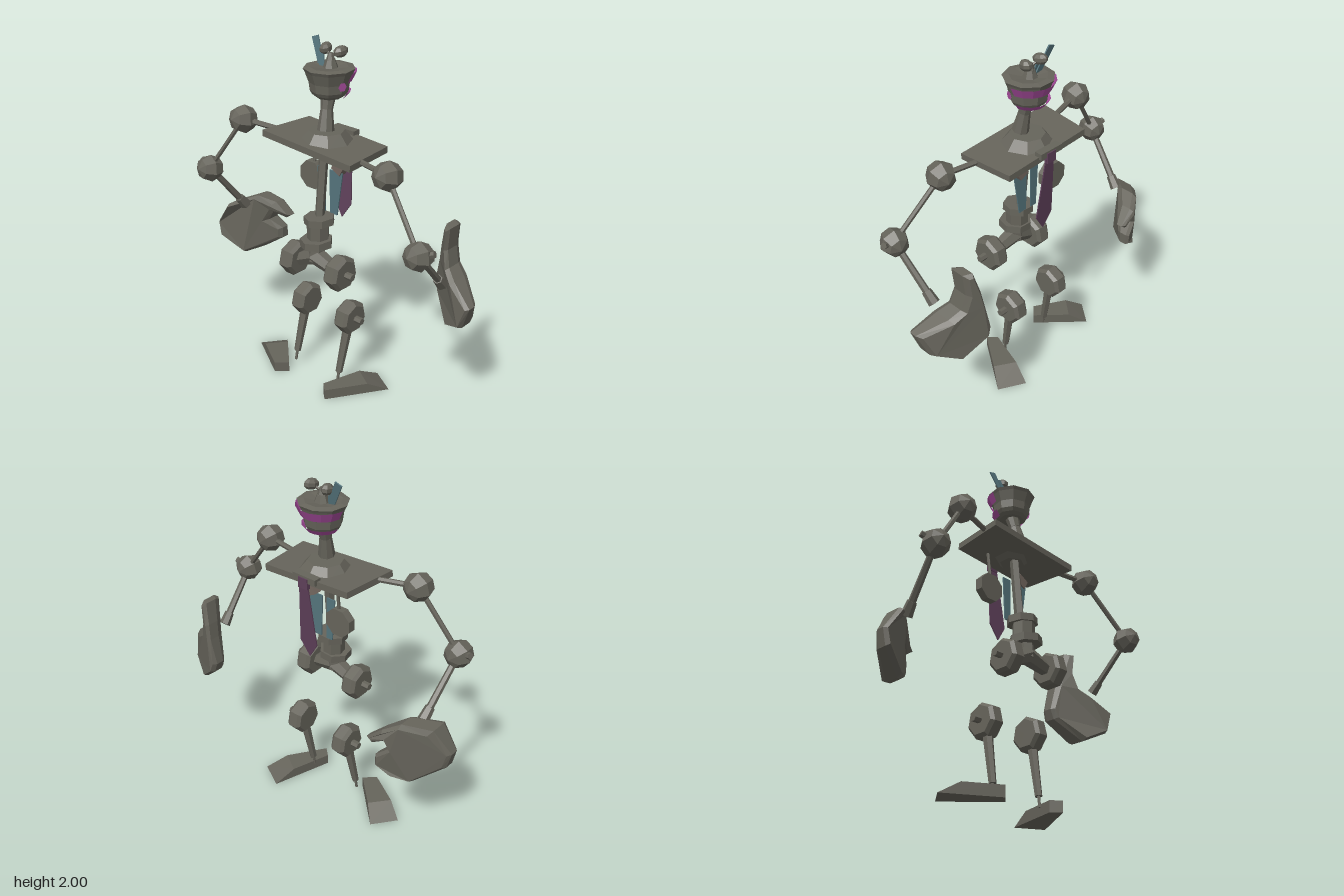
import * as THREE from 'three';

const mat = (name, color, double) => {
  const m = new THREE.MeshStandardMaterial({ color, flatShading: true });
  m.name = name;
  if (double) m.side = THREE.DoubleSide;
  return m;
};

export function createModel() {
  const root = new THREE.Group();
  const grey = mat('warm grey metal', 0x66645b);
  const blue = mat('slate blue', 0x55747c, true);
  const magenta = mat('magenta', 0xa64c9c, true);
  const purple = mat('dark purple', 0x5e4059, true);
  const brown = mat('brown grey', 0x73675f);
  const V = (p) => new THREE.Vector3(...p);
  const points = (pts) => pts.map((p) => new THREE.Vector2(...p));

  const add = (name, geo, material, pos = [0, 0, 0], rot = [0, 0, 0]) => {
    const m = new THREE.Mesh(geo, material);
    m.name = name;
    m.position.set(...pos);
    m.rotation.set(...rot);
    root.add(m);
    return m;
  };
  // tapered bar from a to b
  const rod = (name, a, b, ra, rb = ra, sides = 6) => {
    const d = V(b).sub(V(a));
    const m = add(name, new THREE.CylinderGeometry(rb, ra, d.length(), sides), grey);
    m.position.copy(V(a)).addScaledVector(d, 0.5);
    m.quaternion.setFromUnitVectors(new THREE.Vector3(0, 1, 0), d.normalize());
  };
  const ball = (name, p, r) => add(name, new THREE.SphereGeometry(r, 7, 4), grey, p, [1.4, 0.2, 0.2]);
  // thin flat panel, optionally leaning about its origin
  const plate = (name, pts, material, pos, lean = 0) => add(name,
    new THREE.ExtrudeGeometry(new THREE.Shape(points(pts)), { depth: 0.007, bevelEnabled: false }),
    material, pos, [lean, 0, 0]);

  // head bowl
  const prof = [[0, 1.71], [0.07, 1.71], [0.088, 1.725], [0.1, 1.745], [0.106, 1.79], [0.126, 1.845], [0.135, 1.862], [0.1, 1.868], [0, 1.85]];
  add('head', new THREE.LatheGeometry(points(prof), 9), grey, [-0.01, 0, 0.005]);
  // flared bands around the back of the head
  const band = (name, y, h, r0, r1) => add(name,
    new THREE.CylinderGeometry(r1, r0, h, 7, 1, true, Math.PI * 0.52, Math.PI * 0.96), magenta, [-0.01, y, 0]);
  band('upperHeadBand', 1.822, 0.052, 0.113, 0.138);
  band('lowerHeadBand', 1.728, 0.03, 0.084, 0.108);
  add('sideSpot', new THREE.CircleGeometry(0.024, 6), magenta, [0.101, 1.785, 0.03], [0, Math.PI / 2 - 0.3, 0]);
  // neck
  rod('lowerNeck', [0.005, 1.54, 0.05], [-0.005, 1.65, 0.03], 0.045, 0.032, 8);
  rod('upperNeck', [-0.005, 1.65, 0.03], [-0.01, 1.73, 0.01], 0.032, 0.042, 8);

  // eye stalks on the crown
  add('eyeBase', new THREE.CylinderGeometry(0.025, 0.04, 0.04, 7), grey, [-0.01, 1.88, -0.005]);
  add('eyePost', new THREE.CylinderGeometry(0.012, 0.025, 0.04, 6), grey, [-0.01, 1.915, -0.005]);
  for (const s of [-1, 1]) {
    const p = [-0.01 + s * 0.05, 1.945, -0.025];
    rod('eyeStalk', [-0.01, 1.915, -0.005], p, 0.008, 0.008, 5);
    add('eye', new THREE.SphereGeometry(0.03, 7, 5), grey, p, [0.15, s * -0.2, 0]).scale.z = 1.45;
  }
  // head feathers
  plate('tallFeather', [[-0.09, 0], [-0.05, 0], [-0.115, 0.143], [-0.155, 0.128]], blue, [0, 1.86, -0.005], -0.2);
  plate('shortFeather', [[-0.075, 0], [-0.04, 0], [-0.065, 0.1], [-0.105, 0.09]], blue, [0, 1.86, 0.004], -0.2);

  // shoulder plate, collar and chest underside
  const deck = new THREE.Shape(points([[-0.32, -0.19], [0.29, -0.19], [0.265, 0.135], [-0.285, 0.135]]));
  add('shoulderPlate', new THREE.ExtrudeGeometry(deck, { depth: 0.036, bevelEnabled: false }), grey,
    [0, 1.447, 0], [-Math.PI / 2, 0.062, 0]);
  add('collar', new THREE.CylinderGeometry(0.095, 0.145, 0.06, 8), grey, [-0.015, 1.5, 0.02]);
  add('chestUnderside', new THREE.CylinderGeometry(0.1, 0.07, 0.03, 6), grey, [-0.01, 1.44, 0.01]);

  // spine and waist
  rod('spine', [-0.018, 1.05, 0.075], [-0.018, 1.45, 0.035], 0.027, 0.027, 5);
  for (const [y, z, r, h, t] of [[1.04, 0.085, 0.085, 0.04, 0.06], [0.975, 0.095, 0.062, 0.1, 0], [0.915, 0.11, 0.09, 0.042, 0.06]]) {
    add('waistDisc', new THREE.CylinderGeometry(r, r, h, 7), grey, [-0.01, y, z], [0, 0, t]);
  }
  // blue torso panels
  plate('rightPanel', [[-0.07, 1.06], [-0.03, 1.06], [-0.03, 1.31], [-0.085, 1.31]], blue, [0, 0, 0.01]);
  plate('leftPanel', [[0.005, 1.06], [0.055, 1.06], [0.092, 1.31], [0, 1.31]], blue, [0, 0, 0.01]);
  add('panelBlock', new THREE.BoxGeometry(0.065, 0.055, 0.05), brown, [0.06, 1.335, 0], [0, 0, -0.5]);
  // hanging weight
  rod('weightRod', [-0.145, 1.3, -0.025], [-0.145, 1.46, -0.045], 0.009);
  add('weight', new THREE.CylinderGeometry(0.083, 0.083, 0.045, 8), grey, [-0.153, 1.23, -0.025], [Math.PI / 2, Math.PI / 8, 0]);

  // back tie
  plate('tie', [[0, 0], [0.058, 0.09], [0.028, 0.49], [-0.025, 0.49], [-0.055, 0.09]], purple, [-0.01, 0.99, -0.102], -0.1);
  add('tieKnot', new THREE.BoxGeometry(0.15, 0.035, 0.045), grey, [-0.015, 1.485, -0.13]);
  add('tieClip', new THREE.BoxGeometry(0.06, 0.06, 0.025), purple, [-0.012, 1.462, -0.146]);

  // chamfered wheel joint turning about x, with an outer knob
  const wheel = (name, [x, y, z], r, w, side) => {
    const rim = points([[0, -w / 2], [r * 0.82, -w / 2], [r, -w * 0.3], [r, w * 0.3], [r * 0.82, w / 2], [0, w / 2]]);
    add(name, new THREE.LatheGeometry(rim, 7), grey, [x, y, z], [0.2, 0, -side * Math.PI / 2]);
    rod(name + 'Knob', [x + side * w / 2, y, z], [x + side * (w / 2 + 0.045), y, z], 0.02);
  };
  // pelvis
  wheel('hipWheel', [-0.16, 0.775, 0.12], 0.1, 0.09, -1);
  wheel('hipWheel', [0.168, 0.795, 0.12], 0.1, 0.09, 1);
  rod('hipAxle', [-0.13, 0.775, 0.12], [-0.01, 0.835, 0.115], 0.038, 0.052);
  rod('hipAxle', [0.135, 0.795, 0.12], [-0.01, 0.835, 0.115], 0.038, 0.052);
  rod('pelvisPost', [-0.01, 0.81, 0.115], [-0.01, 0.91, 0.11], 0.05, 0.045);

  // foot wedge: heel corners, then toe corners
  const foot = (hA, hB, tA, tB) => {
    const mix = (a, b, k) => [a[0] + (b[0] - a[0]) * k, a[1] + (b[1] - a[1]) * k];
    const low = [hA, hB, tB, tA].map((p) => [p[0], 0.005, p[1]]);
    const top = [hA, hB, mix(hB, tB, 0.66), mix(hA, tA, 0.66)].map((p) => [p[0], 0.066, p[1]]);
    const g = new THREE.BufferGeometry();
    g.setAttribute('position', new THREE.Float32BufferAttribute([...low, ...top].flat(), 3));
    const idx = [0, 2, 1, 0, 3, 2, 4, 5, 6, 4, 6, 7];
    for (let i = 0; i < 4; i++) {
      const j = (i + 1) % 4;
      idx.push(i, j, j + 4, i, j + 4, i + 4);
    }
    g.setIndex(idx);
    const flat = g.toNonIndexed();
    flat.computeVertexNormals();
    add('foot', flat, grey);
  };
  foot([-0.26, 0.21], [-0.2, 0.15], [-0.54, 0.05], [-0.44, -0.08]);
  foot([0.09, 0.17], [0.14, 0.215], [0.2, -0.18], [0.35, -0.1]);
  // shins and knees
  for (const [x, xb, y, s] of [[-0.19, -0.207, 0.447, -1], [0.137, 0.12, 0.455, 1]]) {
    wheel('kneeWheel', [x, y, 0], 0.098, 0.09, s);
    rod('shin', [xb, 0.11, 0.07], [x, y - 0.05, 0.012], 0.02, 0.028);
    rod('ankleRod', [xb - 0.003, 0.05, 0.08], [xb, 0.13, 0.067], 0.008);
  }

  // mitten hand: outline in x, y; line gives x, centre of depth, thickness factor
  const hand = (name, outline, line) => {
    const t = 0.08;
    const g = new THREE.ExtrudeGeometry(new THREE.Shape(points(outline)), {
      depth: t, bevelEnabled: true, bevelThickness: 0.03, bevelSize: 0.015, bevelOffset: -0.015, bevelSegments: 1 });
    const p = g.attributes.position;
    for (let i = 0; i < p.count; i++) {
      const x = p.getX(i);
      let k = 0;
      while (k < line.length - 2 && x > line[k + 1][0]) k++;
      const [a, b] = [line[k], line[k + 1]];
      const f = THREE.MathUtils.clamp((x - a[0]) / (b[0] - a[0]), 0, 1);
      const thick = a[2] + (b[2] - a[2]) * f;
      p.setZ(i, a[1] + (b[1] - a[1]) * f + (p.getZ(i) - t / 2) * thick);
    }
    g.computeVertexNormals();
    add(name, g, grey);
  };
  hand('rightHand', [[-0.89, 0.73], [-0.87, 0.64], [-0.735, 0.54], [-0.65, 0.58], [-0.57, 0.635], [-0.57, 0.7],
    [-0.635, 0.755], [-0.615, 0.805], [-0.55, 0.77], [-0.515, 0.795], [-0.6, 0.87], [-0.68, 0.915], [-0.8, 0.865]],
  [[-0.885, 0.005, 0.55], [-0.8, -0.02, 1.15], [-0.7, -0.12, 1.05], [-0.63, -0.185, 0.85], [-0.55, -0.225, 0.4]]);
  hand('leftHand', [[0.55, 0.77], [0.57, 0.71], [0.71, 0.585], [0.84, 0.65], [0.885, 0.78], [0.75, 0.865],
    [0.69, 0.91], [0.665, 1.0], [0.675, 1.125], [0.63, 1.13], [0.6, 1.01], [0.585, 0.92]],
  [[0.54, -0.245, 0.5], [0.58, -0.245, 0.75], [0.66, -0.19, 0.95], [0.81, -0.11, 1.2], [0.885, -0.065, 0.5]]);

  // arms
  const arms = [
    { base: [-0.27, 1.483, 0.085], sh: [-0.515, 1.502, 0.14], el: [-0.74, 1.17, 0.205], wr: [-0.71, 0.87, -0.03] },
    { base: [0.25, 1.452, 0.085], sh: [0.48, 1.447, 0.13], el: [0.742, 1.135, 0.21], wr: [0.715, 0.865, -0.04] },
  ];
  for (const { base, sh, el, wr } of arms) {
    const s = Math.sign(sh[0]);
    rod('collarRod', base, sh, 0.015);
    ball('shoulder', sh, 0.08);
    rod('upperArm', sh, el, 0.014);
    ball('elbow', el, 0.078);
    rod('elbowKnob', el, [el[0] + s * 0.08, el[1] + 0.03, el[2] - 0.02], 0.018);
    const mid = V(el).lerp(V(wr), 0.8).toArray();
    rod('forearm', el, mid, 0.017, 0.02);
    rod('wrist', mid, wr, 0.026, 0.032);
  }
  return root;
}
